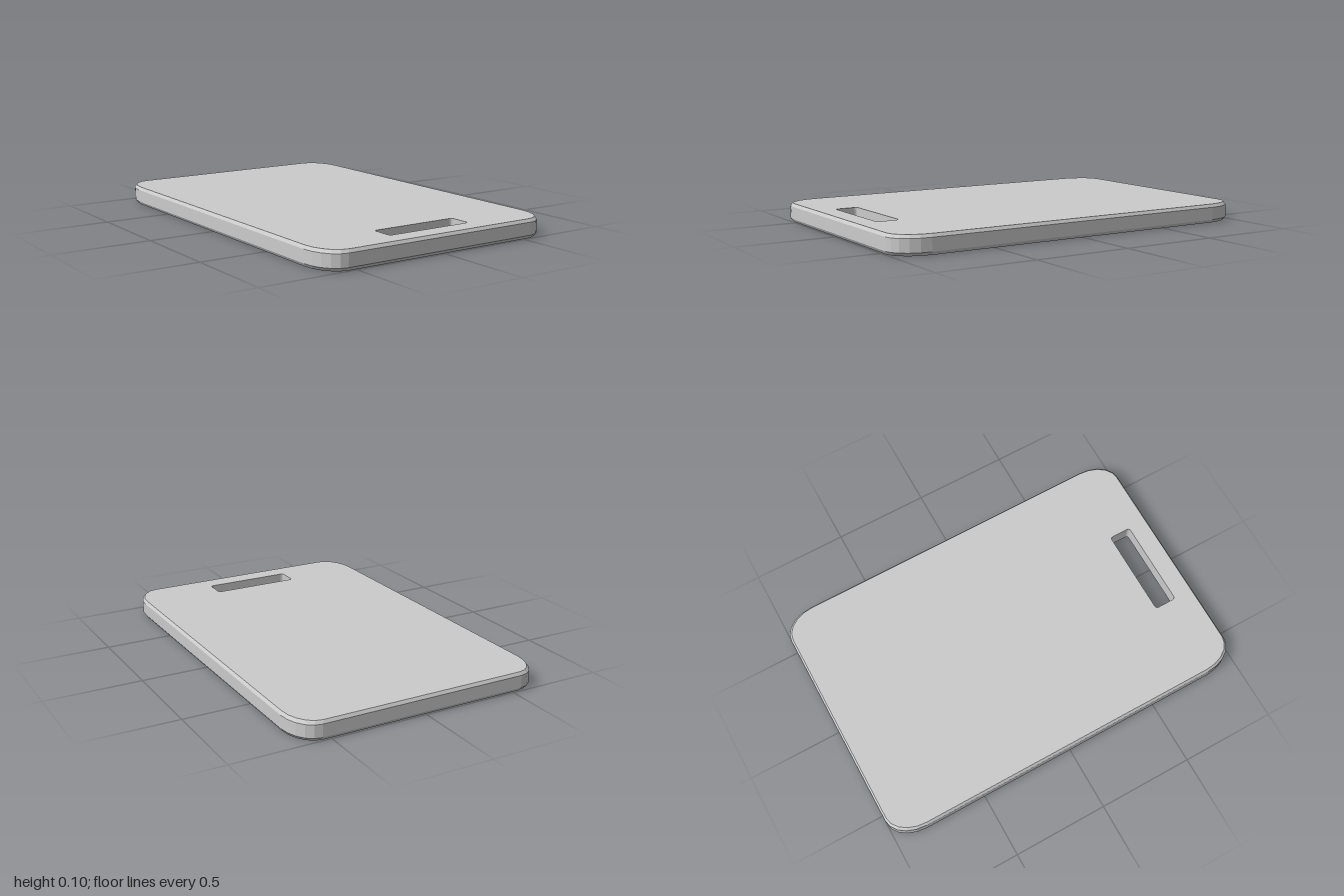
import * as THREE from 'three';

const HALF_W = 0.665, HALF_L = 1, HEIGHT = 0.097;
const BEVEL_H = 0.016, INSET = 0.01;

// Rectangle with elliptical corners, as a counter-clockwise list of points
function roundedRect(cx, cy, hw, hl, rx, ry, segments) {
  const points = [];
  [[1, 1], [-1, 1], [-1, -1], [1, -1]].forEach(([sx, sy], corner) => {
    for (let i = 0; i <= segments; i++) {
      const a = (corner + i / segments) * Math.PI / 2;
      points.push(new THREE.Vector2(
        cx + sx * (hw - rx) + rx * Math.cos(a),
        cy + sy * (hl - ry) + ry * Math.sin(a)));
    }
  });
  return points;
}

export function createModel() {
  const group = new THREE.Group();
  group.name = 'cuttingBoard';

  // Board outline with the handle slot near the front edge
  const shape = new THREE.Shape(roundedRect(0, 0, HALF_W, HALF_L, 0.12, 0.17, 5));
  shape.holes.push(new THREE.Path(roundedRect(0, -0.83, 0.236, 0.059, 0.015, 0.015, 3)));
  const geometry = new THREE.ExtrudeGeometry(shape, { depth: HEIGHT, steps: 3, bevelEnabled: false });

  // Chamfer the outer rim only: four levels, the end ones drawn in; the slot stays straight
  const levels = [0, BEVEL_H, HEIGHT - BEVEL_H, HEIGHT];
  const pos = geometry.attributes.position;
  for (let i = 0; i < pos.count; i++) {
    const level = Math.round(pos.getZ(i) / HEIGHT * 3);
    pos.setZ(i, levels[level]);
    const onRim = Math.abs(pos.getX(i)) > 0.4;
    if (onRim && (level === 0 || level === 3)) {
      pos.setX(i, pos.getX(i) * (1 - INSET / HALF_W));
      pos.setY(i, pos.getY(i) * (1 - INSET / HALF_L));
    }
  }
  geometry.rotateX(-Math.PI / 2);
  geometry.computeVertexNormals();

  const board = new THREE.Mesh(geometry,
    new THREE.MeshStandardMaterial({ color: 0xcccccc, flatShading: true }));
  board.name = 'board';
  group.add(board);
  return group;
}
